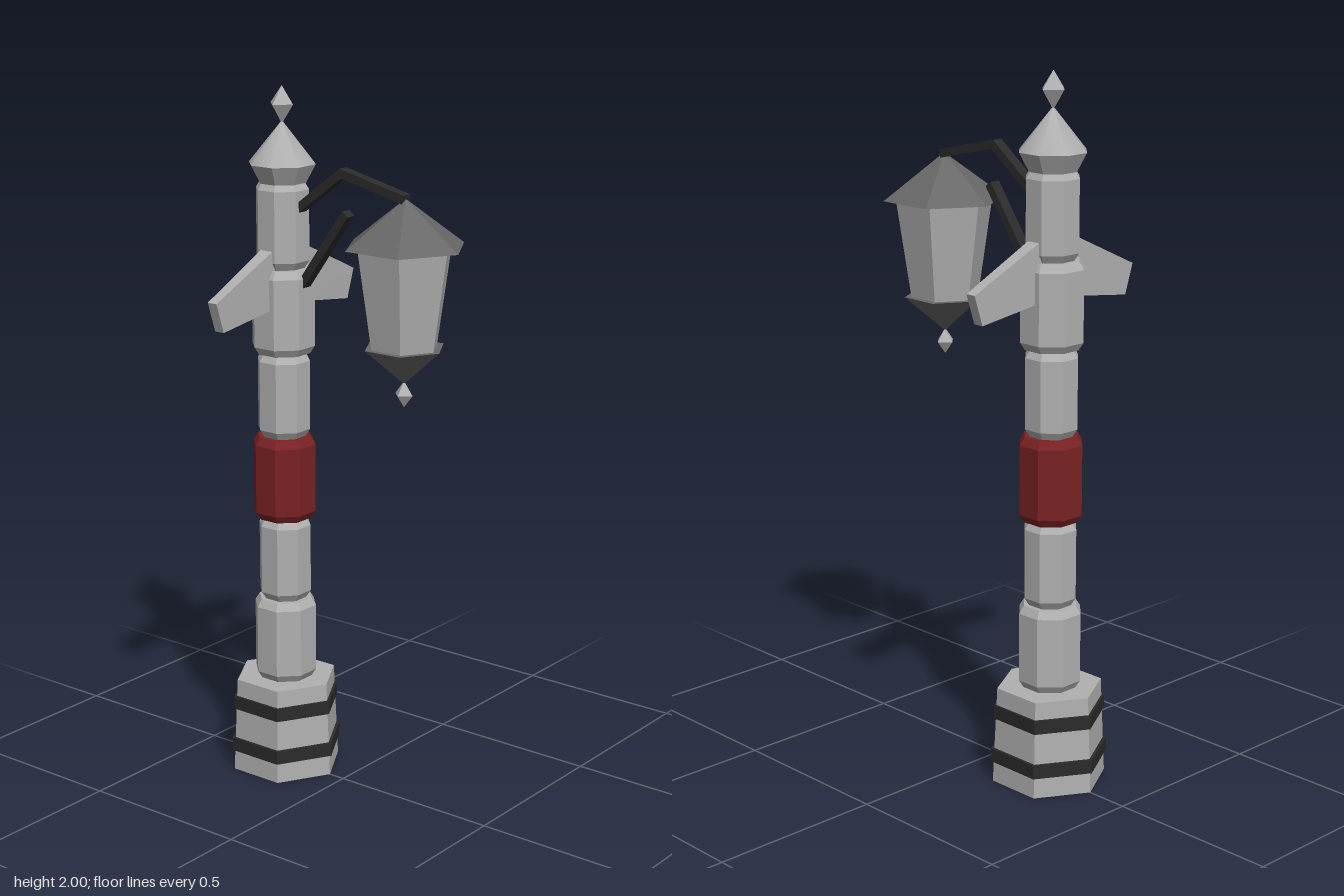
import * as THREE from 'three';

const mat = (name, hex) => {
  const m = new THREE.MeshStandardMaterial({ color: hex });
  m.name = name;
  return m;
};

// Faceted normals baked into the geometry
function facet(geo) {
  const g = geo.toNonIndexed();
  g.computeVertexNormals();
  return g;
}

// Faceted turned shape from [radius, y] pairs
function turned(profile, sides, phase = 0) {
  const pts = profile.map(([r, y]) => new THREE.Vector2(r, y));
  return facet(new THREE.LatheGeometry(pts, sides, phase));
}

export function createModel() {
  const stone = mat('light grey', 0xb0b0b0);
  const iron = mat('dark grey', 0x686868);
  const black = mat('black', 0x2b2b2b);
  const red = mat('dark red', 0x7a2224);

  const model = new THREE.Group();
  model.name = 'streetLamp';
  const add = (parent, name, geo, material) => {
    const mesh = new THREE.Mesh(geo, material);
    mesh.name = name;
    parent.add(mesh);
    return mesh;
  };

  const POST_Z = -0.213, LAMP_Z = 0.21;
  const post = new THREE.Group();
  post.name = 'post';
  post.position.z = POST_Z;
  model.add(post);

  // Hexagonal base with two bands
  add(post, 'base', turned([[0, 0], [0.164, 0], [0.151, 0.28], [0, 0.28]], 6), stone);
  for (const [y, r] of [[0.08, 0.169], [0.21, 0.161]]) {
    add(post, 'baseBand', turned(
      [[r - 0.02, y - 0.02], [r, y - 0.02], [r, y + 0.02], [r - 0.02, y + 0.02]], 6), black);
  }

  // Stacked octagonal segments, alternately wide and narrow, one red
  const oct = 1 / Math.cos(Math.PI / 8), step = 0.2433, c = 0.022;
  for (let i = 0; i < 6; i++) {
    const r = (i % 2 ? 0.071 : 0.085) * oct, y0 = 0.28 + i * step, y1 = y0 + step;
    add(post, 'postSegment', turned(
      [[0, y0], [r - 0.014, y0], [r, y0 + c], [r, y1 - c], [r - 0.014, y1], [0, y1]],
      8, Math.PI / 8), i === 2 ? red : stone);
  }

  // Cap: flared collar, smooth cone and pointed finial
  const capR = 0.089 * oct;
  add(post, 'capCollar', turned([[0, 1.735], [0.063 * oct, 1.735], [capR, 1.787]], 8, Math.PI / 8), stone);
  const cone = new THREE.ConeGeometry(capR, 0.118, 8, 1, true, Math.PI / 8);
  cone.translate(0, 1.787 + 0.059, 0);
  add(post, 'capCone', cone, stone);
  add(post, 'topFinial', turned([[0, 1.895], [0.04, 1.95], [0, 2]], 4), stone);

  // Tapered side wings, corners placed by their side of a box
  for (const s of [1, -1]) {
    const wing = new THREE.BoxGeometry(2, 2, 2);
    const p = wing.attributes.position;
    for (let i = 0; i < p.count; i++) {
      const outer = p.getX(i) * s > 0, top = p.getY(i) > 0;
      const x = outer ? (top ? 0.3 : 0.272) : 0.06;
      const y = outer ? (top ? 1.445 : 1.36) : (top ? 1.557 : 1.39);
      p.setXYZ(i, x * s, y, p.getZ(i) * (outer ? 0.0155 : 0.021));
    }
    wing.computeVertexNormals();
    add(post, s > 0 ? 'leftWing' : 'rightWing', wing, stone);
  }

  // Bracket bars between [z, y] points
  const bar = (name, [z0, y0], [z1, y1]) => {
    const dz = z1 - z0, dy = y1 - y0;
    const mesh = add(model, name, new THREE.BoxGeometry(0.032, 0.024, Math.hypot(dz, dy)), black);
    mesh.position.set(0, (y0 + y1) / 2, (z0 + z1) / 2);
    mesh.rotation.x = -Math.atan2(dy, dz);
  };
  bar('armRise', [-0.18, 1.645], [0.004, 1.783]);
  bar('armReach', [-0.004, 1.783], [0.212, 1.733]);
  bar('armStrut', [-0.16, 1.425], [0.018, 1.672]);

  // Hanging hexagonal lantern
  const lantern = new THREE.Group();
  lantern.name = 'lantern';
  lantern.position.z = LAMP_Z;
  model.add(lantern);
  add(lantern, 'lanternRoof', turned([[0, 1.605], [0.173, 1.605], [0, 1.735]], 6), iron);
  add(lantern, 'lanternBody', turned([[0, 1.325], [0.096, 1.325], [0.138, 1.608], [0, 1.608]], 6), stone);
  add(lantern, 'lanternBottom', turned([[0, 1.228], [0.116, 1.33], [0, 1.33]], 6), iron);
  add(lantern, 'bottomFinial', turned([[0, 1.162], [0.029, 1.198], [0, 1.236]], 4), stone);

  return model;
}
